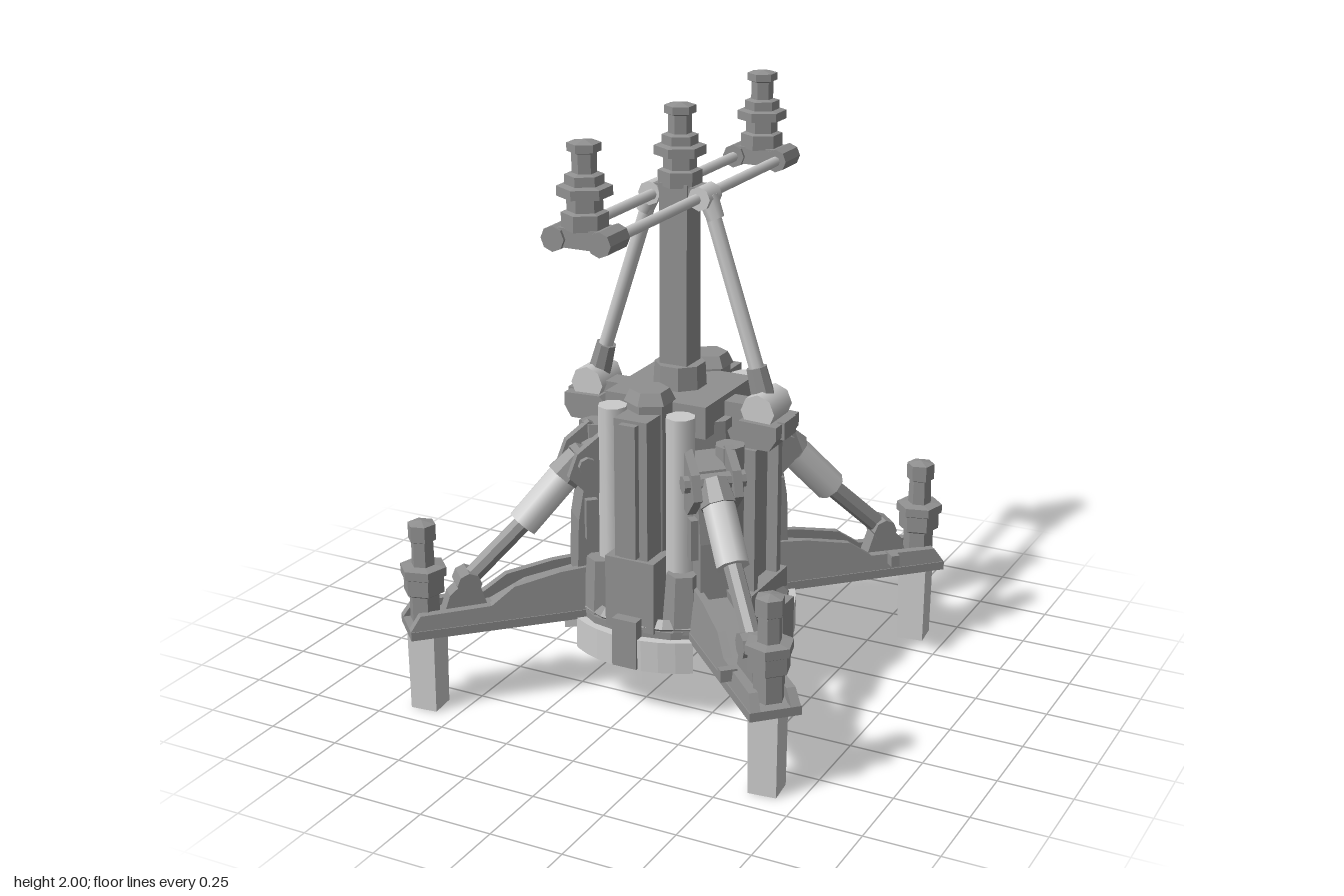
import * as THREE from 'three';

// darker faceted body metal and lighter smooth tubing
const body = new THREE.MeshStandardMaterial({ color: 0x909090, flatShading: true, side: THREE.DoubleSide });
const tubing = new THREE.MeshStandardMaterial({ color: 0xcccccc, side: THREE.DoubleSide });

function add(parent, name, geo, x = 0, y = 0, z = 0, mat = body) {
  const m = new THREE.Mesh(geo, mat);
  m.name = name;
  m.position.set(x, y, z);
  parent.add(m);
  return m;
}

// box given by its limits on each axis
const block = (p, name, x0, x1, y0, y1, z0, z1) =>
  add(p, name, new THREE.BoxGeometry(x1 - x0, y1 - y0, z1 - z0), (x0 + x1) / 2, (y0 + y1) / 2, (z0 + z1) / 2);

// upright prism from y0 to y1
function prism(p, name, r0, r1, y0, y1, sides, x = 0, z = 0, turn = 0) {
  add(p, name, new THREE.CylinderGeometry(r1, r0, y1 - y0, sides), x, (y0 + y1) / 2, z).rotation.y = turn;
}

// rod between two points
function rod(p, name, a, b, r0, r1 = r0, mat = tubing) {
  const A = new THREE.Vector3(...a), B = new THREE.Vector3(...b);
  const m = add(p, name, new THREE.CylinderGeometry(r1, r0, A.distanceTo(B), 8), 0, 0, 0, mat);
  m.position.copy(A).add(B).multiplyScalar(0.5);
  m.quaternion.setFromUnitVectors(new THREE.Vector3(0, 1, 0), B.sub(A).normalize());
}

// side outline in x-y, extruded across z; lean pulls the sides inward above y = 0.31
function profile(p, name, pts, z0, z1, lean = 0) {
  const s = new THREE.Shape(pts.map(q => new THREE.Vector2(...q)));
  const geo = new THREE.ExtrudeGeometry(s, { depth: z1 - z0, bevelEnabled: false }).translate(0, 0, z0);
  const pos = geo.attributes.position;
  for (let i = 0; i < pos.count; i++) pos.setZ(i, pos.getZ(i) * (1 - lean * (pos.getY(i) - 0.31)));
  add(p, name, geo);
}

const lathe = (p, name, pts, sides, x, y, z) =>
  add(p, name, new THREE.LatheGeometry(pts.map(q => new THREE.Vector2(...q)), sides), x, y, z);

// stacked insulator on the top bar
const topStack = [[0, 0], [.072, 0], [.072, .05], [.055, .055], [.055, .095], [.085, .1], [.085, .13],
  [.06, .135], [.06, .165], [.038, .17], [.038, .23], [.052, .235], [.052, .26], [0, .27]];
// shorter one on the leg ends
const legStack = [[0, 0], [.052, 0], [.052, .09], [.07, .1], [.07, .155], [.08, .16], [.08, .19], [.04, .195],
  [.038, .28], [.048, .285], [.048, .34], [0, .35]];

// one leg pointing along local +x
function makeLeg() {
  const g = new THREE.Group();
  g.name = 'leg';
  block(g, 'legFloor', .3, .955, .28, .31, -.085, .085);
  const rail = [[.3, .31], [.955, .31], [.92, .36], [.68, .365], [.6, .42], [.44, .45], [.3, .46]];
  for (const s of [-1, 1]) profile(g, 'legRail', rail, s * .066 - .016, s * .066 + .016, 1.5);
  profile(g, 'legCore', [[.3, .31], [.92, .31], [.87, .335], [.66, .34], [.54, .4], [.3, .44]], -.052, .052);
  block(g, 'legPin', .74, .77, .33, .37, .06, .115);

  // hollow foot post
  const post = new THREE.CylinderGeometry(.07, .066, .3, 4, 1, true).toNonIndexed();
  post.computeVertexNormals();
  add(g, 'footPost', post, .885, .15, 0, tubing).rotation.y = .1;
  lathe(g, 'legInsulator', legStack, 6, .89, .32, 0);

  // upright with strut clevis
  profile(g, 'upright', [[.24, .31], [.38, .31], [.37, .62], [.33, .86], [.24, .9]], -.05, .05);
  for (const s of [-1, 1]) {
    profile(g, 'clevisPlate', [[.25, .74], [.34, .72], [.41, .79], [.38, .87], [.3, .93], [.25, .9]], s * .07 - .015, s * .07 + .015);
    block(g, 'uprightBox', .31, .35, .56, .7, s * .06 - .015, s * .06 + .015);
  }
  rod(g, 'clevisPin', [.35, .83, -.105], [.35, .83, .105], .03, .03, body);

  // telescopic strut
  rod(g, 'strutCollar', [.35, .83, 0], [.41, .765, 0], .05, .062, body);
  rod(g, 'strutSleeve', [.39, .785, 0], [.55, .615, 0], .056);
  rod(g, 'strutRod', [.54, .625, 0], [.74, .44, 0], .032, .032, body);
  rod(g, 'strutBall', [.745, .435, -.045], [.745, .435, .045], .042, .042, body);
  profile(g, 'strutLug', [[.68, .34], [.83, .34], [.81, .4], [.75, .45], [.71, .43]], -.03, .03);
  return g;
}

export function createModel() {
  const root = new THREE.Group();
  root.name = 'turret';

  // base: four ring segments between the legs and a deck
  for (let i = 0; i < 4; i++) {
    const a = i * Math.PI / 2, h = .58;
    const s = new THREE.Shape();
    s.absarc(0, 0, .4, a - h, a + h, false);
    s.absarc(0, 0, .3, a + h, a - h, true);
    const geo = new THREE.ExtrudeGeometry(s, { depth: .11, bevelEnabled: false, curveSegments: 4 });
    add(root, 'baseSegment', geo, 0, .285, 0, tubing).rotation.x = Math.PI / 2;
  }
  prism(root, 'deck', .375, .375, .275, .31, 16);
  add(root, 'deckRim', new THREE.TorusGeometry(.35, .025, 4, 20), 0, .32, 0).rotation.x = Math.PI / 2;

  // core
  prism(root, 'core', .25, .23, .3, .98, 8, 0, 0, Math.PI / 8);
  block(root, 'coreCap', -.185, .185, .94, 1.05, -.18, .18);
  prism(root, 'mastCollar', .09, .085, 1.04, 1.13, 8, 0, 0, Math.PI / 8);

  // front and back columns
  for (const s of [1, -1]) {
    const g = new THREE.Group();
    g.name = s > 0 ? 'frontColumn' : 'backColumn';
    if (s < 0) g.rotation.y = Math.PI;
    prism(g, 'cylinder', .075, .075, .3, 1.07, 6, 0, .215);
    prism(g, 'cylinderCap', .085, .065, 1.06, 1.1, 6, 0, .215);
    block(g, 'spine', -.06, .06, .5, 1.03, .22, .35);
    block(g, 'frontPlate', -.03, .03, .56, 1.02, .35, .375);
    block(g, 'lowerBox', -.09, .09, .3, .55, .24, .365);
    block(g, 'lowerLug', -.045, .045, .18, .35, .34, .405);
    for (const x of [-1, 1]) {
      rod(g, 'sidePipe', [x * .125, .32, .24], [x * .125, 1.03, .24], .05);
      prism(g, 'pipeFoot', .07, .055, .3, .5, 6, x * .15, .27);
    }
    root.add(g);
  }

  // left and right towers, knuckles and stays
  for (const s of [1, -1]) {
    const g = new THREE.Group();
    g.name = s > 0 ? 'leftTower' : 'rightTower';
    if (s < 0) g.rotation.y = Math.PI;
    block(g, 'towerPanel', .18, .29, .3, .9, -.085, .085);
    for (const z of [-1, 1]) {
      prism(g, 'towerPipe', .05, .05, .32, .92, 8, .25, z * .13);
      block(g, 'towerRib', .28, .33, .34, .9, z * .09 - .015, z * .09 + .015);
    }
    block(g, 'towerFoot', .2, .34, .3, .4, -.14, .14);
    block(g, 'baseLug', .34, .41, .18, .34, -.045, .045);
    block(g, 'arm', .16, .3, .93, 1.03, -.04, .04);
    profile(g, 'knuckleSeat', [[.24, .9], [.37, .9], [.395, .94], [.395, .985], [.26, .99], [.22, .95]], -.09, .09);
    block(g, 'seatBox', .38, .405, .93, .99, -.045, .045);
    rod(g, 'knuckle', [.318, 1.02, -.07], [.318, 1.02, .07], .06);
    rod(g, 'staySocket', [.31, 1.04, 0], [.28, 1.15, 0], .042, .035, body);
    rod(g, 'stay', [.29, 1.12, 0], [.1, 1.7, 0], .026);
    rod(g, 'stayHead', [.13, 1.63, 0], [.1, 1.7, 0], .03, .036);
    rod(g, 'headPin', [.09, 1.7, -.045], [.09, 1.7, .045], .04);
    root.add(g);
  }

  // mast and top bar
  block(root, 'mast', -.05, .05, 1.1, 1.74, -.05, .05);
  block(root, 'mastHead', -.08, .08, 1.675, 1.735, -.04, .04);
  for (const x of [-.08, .08]) rod(root, 'topRail', [x, 1.698, -.62], [x, 1.698, .62], .018);
  for (const z of [-.62, 0, .62]) lathe(root, 'topInsulator', topStack, 6, 0, 1.73, z);
  // rounded clamps joining the rail ends
  for (const z of [-.62, .62]) {
    block(root, 'railBridge', -.08, .08, 1.675, 1.735, z - .05, z + .05);
    for (const x of [-.08, .08]) rod(root, 'railClamp', [x, 1.7, z - .06], [x, 1.7, z + .06], .04, .04, body);
  }

  // legs on the diagonals
  for (let i = 0; i < 4; i++) {
    const leg = makeLeg();
    leg.rotation.y = Math.PI / 4 + i * Math.PI / 2;
    root.add(leg);
  }
  return root;
}
